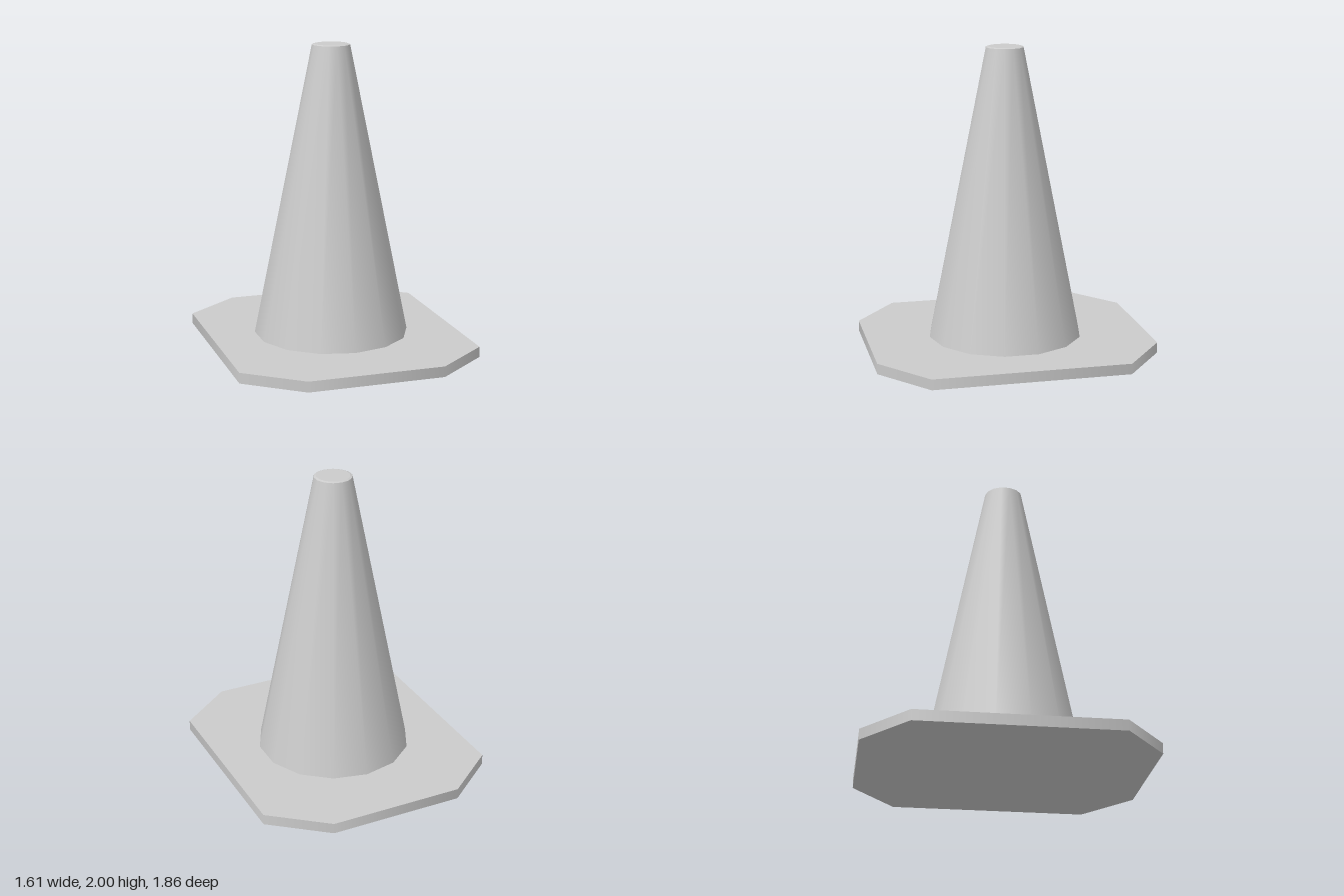
import * as THREE from 'three';

const SIDES = 14;
const BASE_H = 0.07;
const RIM_H = 0.005;
const TOP = 2;

export function createModel() {
  const group = new THREE.Group();
  const material = new THREE.MeshStandardMaterial({ color: 0xcccccc });

  const add = (name, geometry, y) => {
    const mesh = new THREE.Mesh(geometry, material);
    mesh.name = name;
    mesh.position.y = y;
    group.add(mesh);
  };

  // Foot plate: an eight-sided prism stretched to a rectangle with cut corners
  const plate = new THREE.CylinderGeometry(1, 1, BASE_H, 8, 1, false, Math.PI / 8);
  const pos = plate.attributes.position;
  for (let i = 0; i < pos.count; i++) {
    const x = pos.getX(i), z = pos.getZ(i);
    if (Math.hypot(x, z) < 0.5) continue; // cap centres stay put
    const onSide = Math.abs(x) > Math.abs(z);
    pos.setX(i, Math.sign(x) * (onSide ? 0.805 : 0.447));
    pos.setZ(i, Math.sign(z) * (onSide ? 0.643 : 0.928));
  }
  add('footPlate', plate, BASE_H / 2);

  // Tapered body, smooth around its sides
  const bodyH = TOP - RIM_H - BASE_H;
  add('coneBody', new THREE.CylinderGeometry(0.1245, 0.512, bodyH, SIDES, 1, true), BASE_H + bodyH / 2);

  // Narrow bevelled rim with the flat top
  add('topCap', new THREE.CylinderGeometry(0.11, 0.1245, RIM_H, SIDES), TOP - RIM_H / 2);

  return group;
}
